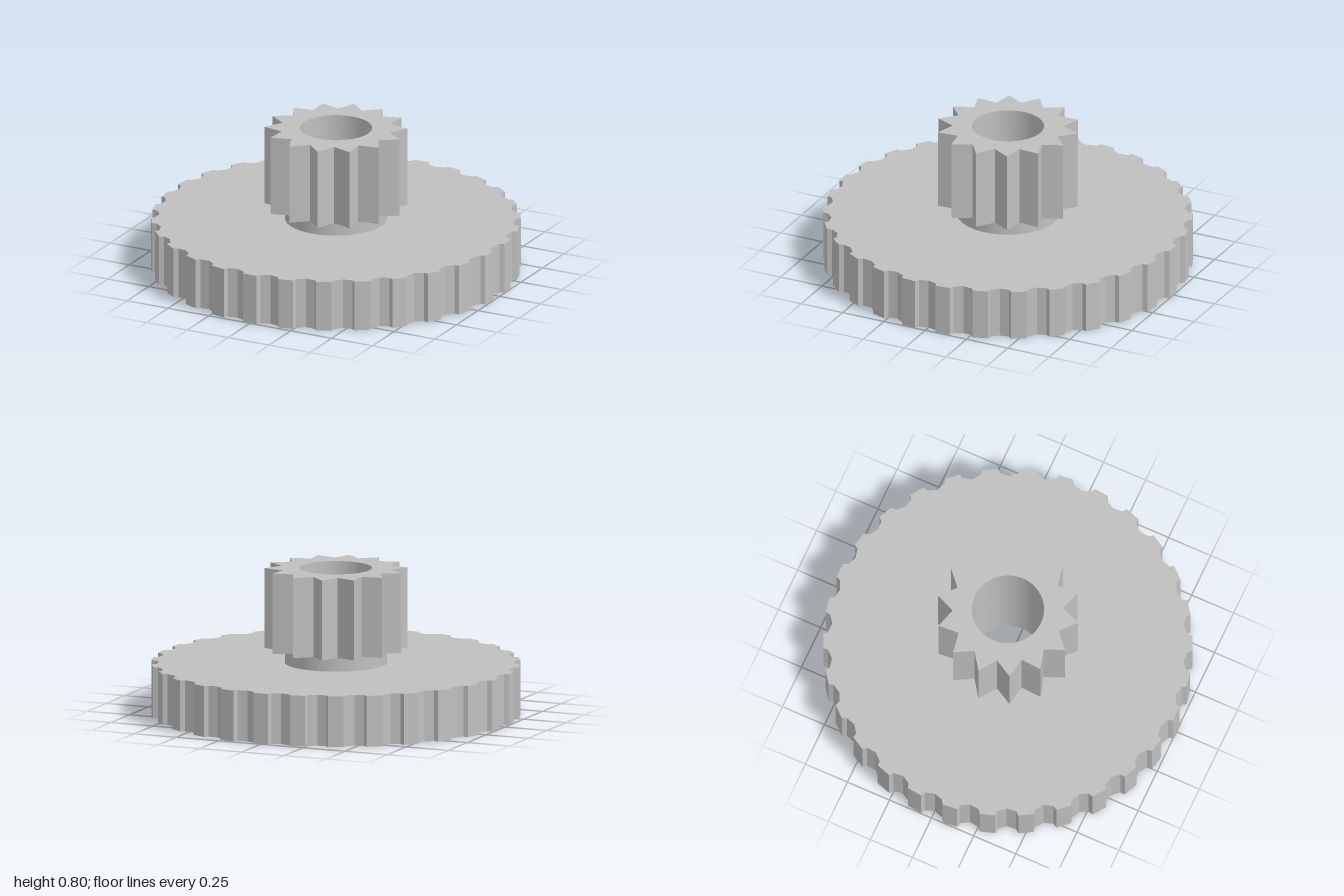
import * as THREE from 'three';
import { toCreasedNormals } from 'three/addons/utils/BufferGeometryUtils.js';

const BORE = 0.195;

// Outline made by repeating one tooth: profile is a list of [degrees from tooth centre, radius]
function gearOutline(teeth, profile, startDeg) {
  const points = [];
  for (let i = 0; i < teeth; i++) {
    for (const [deg, r] of profile) {
      const a = THREE.MathUtils.degToRad(startDeg + (i * 360) / teeth + deg);
      points.push(new THREE.Vector2(r * Math.cos(a), r * Math.sin(a)));
    }
  }
  return new THREE.Shape(points);
}

// Upright slab with the shaft bore cut through it
function boredSlab(name, shape, y0, y1, material) {
  shape.holes.push(new THREE.Path().absarc(0, 0, BORE, 0, Math.PI * 2, true));
  const raw = new THREE.ExtrudeGeometry(shape, { depth: y1 - y0, bevelEnabled: false, curveSegments: 64 });
  raw.rotateX(-Math.PI / 2).translate(0, y0, 0);
  const mesh = new THREE.Mesh(toCreasedNormals(raw, 0.2), material);
  mesh.name = name;
  return mesh;
}

export function createModel() {
  const group = new THREE.Group();
  group.name = 'compoundGear';
  const grey = new THREE.MeshStandardMaterial({ color: 0xc0c0c0 });
  grey.name = 'grey';

  // Wide gear: 30 flat-tipped teeth with shallow hollows between them
  const wheel = gearOutline(30, [[-3, 0.975], [-2.4, 1], [2.4, 1], [3, 0.975], [6, 0.957]], 90);
  group.add(boredSlab('largeGear', wheel, 0, 0.28, grey));

  // Round collar between the gears
  const collar = new THREE.Shape().absarc(0, 0, 0.277, 0, Math.PI * 2, false);
  group.add(boredSlab('collar', collar, 0.28, 0.36, grey));

  // Pinion: 14 pointed teeth
  const pinion = gearOutline(14, [[0, 0.387], [180 / 14, 0.3]], 0);
  group.add(boredSlab('pinion', pinion, 0.36, 0.8, grey));

  return group;
}
